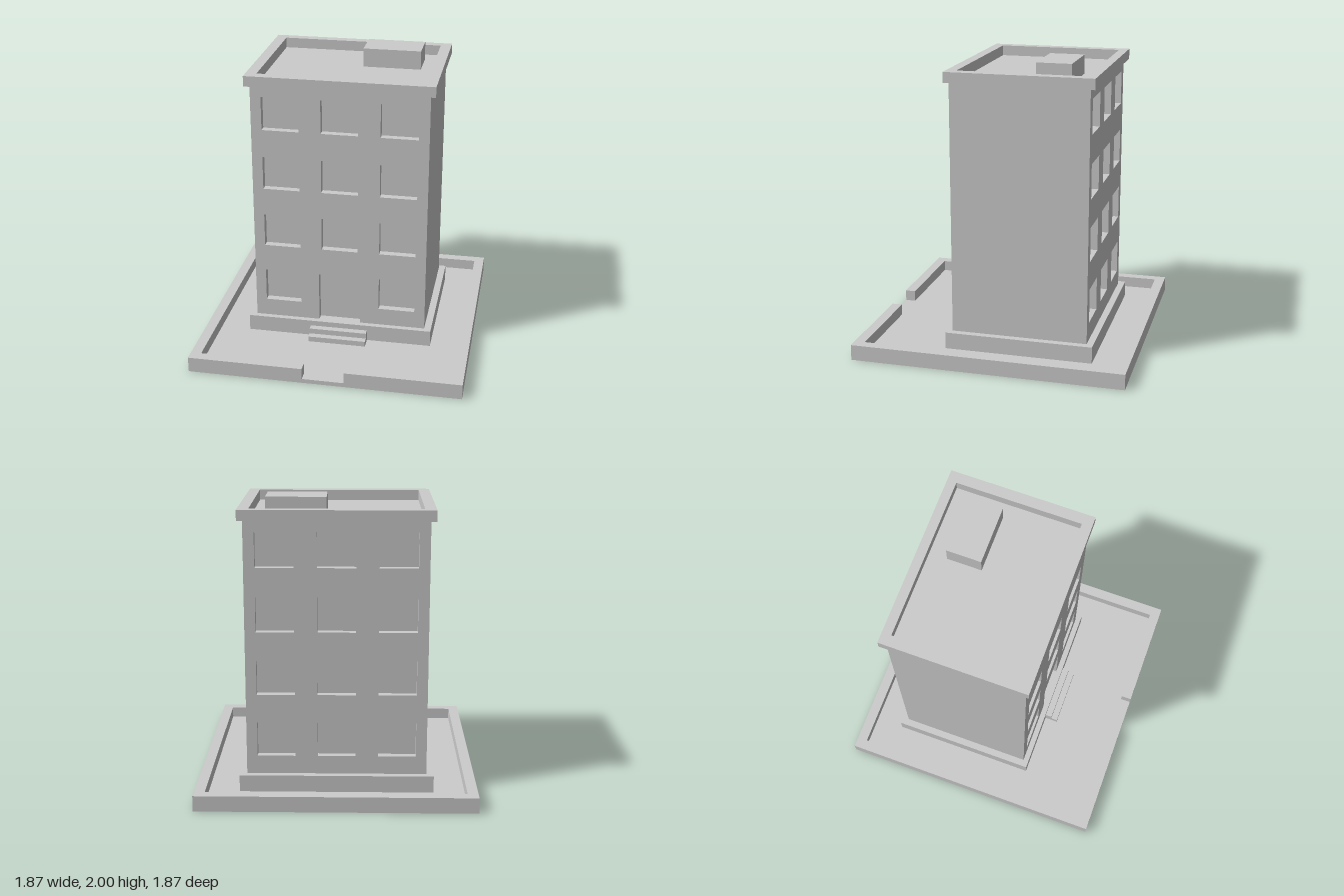
import * as THREE from 'three';

const material = new THREE.MeshStandardMaterial({ color: 0xcccccc, flatShading: true, side: THREE.DoubleSide });

function add(parent, name, geometry, x = 0, y = 0, z = 0) {
  const mesh = new THREE.Mesh(geometry, material);
  mesh.name = name;
  mesh.position.set(x, y, z);
  parent.add(mesh);
  return mesh;
}

// Box given by its extents on each axis
function block(parent, name, [x0, x1], [y0, y1], [z0, z1]) {
  const geometry = new THREE.BoxGeometry(x1 - x0, y1 - y0, z1 - z0);
  return add(parent, name, geometry, (x0 + x1) / 2, (y0 + y1) / 2, (z0 + z1) / 2);
}

const points = (list) => list.map(([x, y]) => new THREE.Vector2(x, y));
const rect = (x0, x1, y0, y1) => points([[x0, y0], [x1, y0], [x1, y1], [x0, y1]]);

function extrude(shape, depth) {
  return new THREE.ExtrudeGeometry(shape, { depth, bevelEnabled: false });
}

// Keep only the triangles whose normal height passes the test
function keepFaces(geometry, test) {
  const source = geometry.index ? geometry.toNonIndexed() : geometry;
  const p = source.attributes.position, n = source.attributes.normal;
  const kept = [];
  for (let i = 0; i < p.count; i += 3) {
    if (!test(n.getY(i))) continue;
    for (let k = i; k < i + 3; k++) kept.push(p.getX(k), p.getY(k), p.getZ(k));
  }
  const result = new THREE.BufferGeometry();
  result.setAttribute('position', new THREE.Float32BufferAttribute(kept, 3));
  result.computeVertexNormals();
  return result;
}

const FLOOR = 0.03, WALL_TOP = 0.107;
const OUT = 0.935, IN = 0.863, GAP = 0.143;
const PLINTH_TOP = 0.145, ROOF = 1.87, PARAPET_TOP = 1.942;
const HALF = 0.605, FRONT = 0.32, BACK = -0.617, RECESS = 0.05;

function createYard() {
  const yard = new THREE.Group();
  yard.name = 'yard';

  // Open-bottomed skirt below the boundary wall
  const skirt = keepFaces(new THREE.BoxGeometry(OUT * 2, FLOOR, OUT * 2), (ny) => Math.abs(ny) < 0.5);
  add(yard, 'baseSkirt', skirt, 0, FLOOR / 2);

  // Boundary wall with a gateway at the front
  const wall = new THREE.Shape(points([
    [GAP, -OUT], [OUT, -OUT], [OUT, OUT], [-OUT, OUT], [-OUT, -OUT], [-GAP, -OUT],
    [-GAP, -IN], [-IN, -IN], [-IN, IN], [IN, IN], [IN, -IN], [GAP, -IN],
  ]));
  const wallGeometry = extrude(wall, WALL_TOP - FLOOR).rotateX(-Math.PI / 2);
  add(yard, 'boundaryWall', keepFaces(wallGeometry, (ny) => ny > -0.5), 0, FLOOR);

  // Paving, running out through the gateway
  const paving = new THREE.Shape(points([
    [-IN, -IN], [-GAP, -IN], [-GAP, -OUT], [GAP, -OUT], [GAP, -IN], [IN, -IN], [IN, IN], [-IN, IN],
  ]));
  add(yard, 'paving', new THREE.ShapeGeometry(paving).rotateX(-Math.PI / 2), 0, FLOOR);
  return yard;
}

// Pierced wall sheet; the core behind it forms the recessed panes
function facadeGeometry(hasDoor) {
  const doorway = hasDoor ? [[-0.148, PLINTH_TOP], [-0.148, 0.503], [0.148, 0.503], [0.148, PLINTH_TOP]] : [];
  const shape = new THREE.Shape(points([
    [-HALF, PLINTH_TOP], ...doorway, [HALF, PLINTH_TOP], [HALF, ROOF], [-HALF, ROOF],
  ]));
  for (let floor = 0; floor < 4; floor++) {
    for (const x of [-0.405, 0, 0.405]) {
      if (hasDoor && floor === 0 && x === 0) continue;
      const y = 0.27 + floor * 0.43;
      shape.holes.push(new THREE.Path(rect(x - 0.127, x + 0.127, y, y + 0.235)));
    }
  }
  return extrude(shape, RECESS);
}

function createBuilding() {
  const building = new THREE.Group();
  building.name = 'building';

  block(building, 'plinth', [-0.653, 0.653], [FLOOR, PLINTH_TOP], [-0.663, 0.358]);
  block(building, 'core', [-HALF, HALF], [PLINTH_TOP, ROOF], [BACK + RECESS, FRONT - RECESS]);
  add(building, 'frontFacade', facadeGeometry(true), 0, 0, FRONT - RECESS);
  add(building, 'backFacade', facadeGeometry(false), 0, 0, BACK);

  // Parapet ring around the flat roof
  const ring = new THREE.Shape(rect(-0.64, 0.64, -0.348, 0.652));
  ring.holes.push(new THREE.Path(rect(-0.565, 0.565, -0.278, 0.588)));
  add(building, 'parapet', extrude(ring, PARAPET_TOP - ROOF).rotateX(-Math.PI / 2), 0, ROOF);
  block(building, 'roofHousing', [0.067, 0.468], [ROOF, 2], [-0.465, -0.227]);

  // Entrance steps
  block(building, 'lowerStep', [-0.203, 0.203], [FLOOR, 0.068], [0.358, 0.45]);
  block(building, 'upperStep', [-0.203, 0.203], [0.068, 0.107], [0.358, 0.404]);
  return building;
}

export function createModel() {
  const model = new THREE.Group();
  model.name = 'apartmentBlock';
  model.add(createYard(), createBuilding());
  return model;
}
